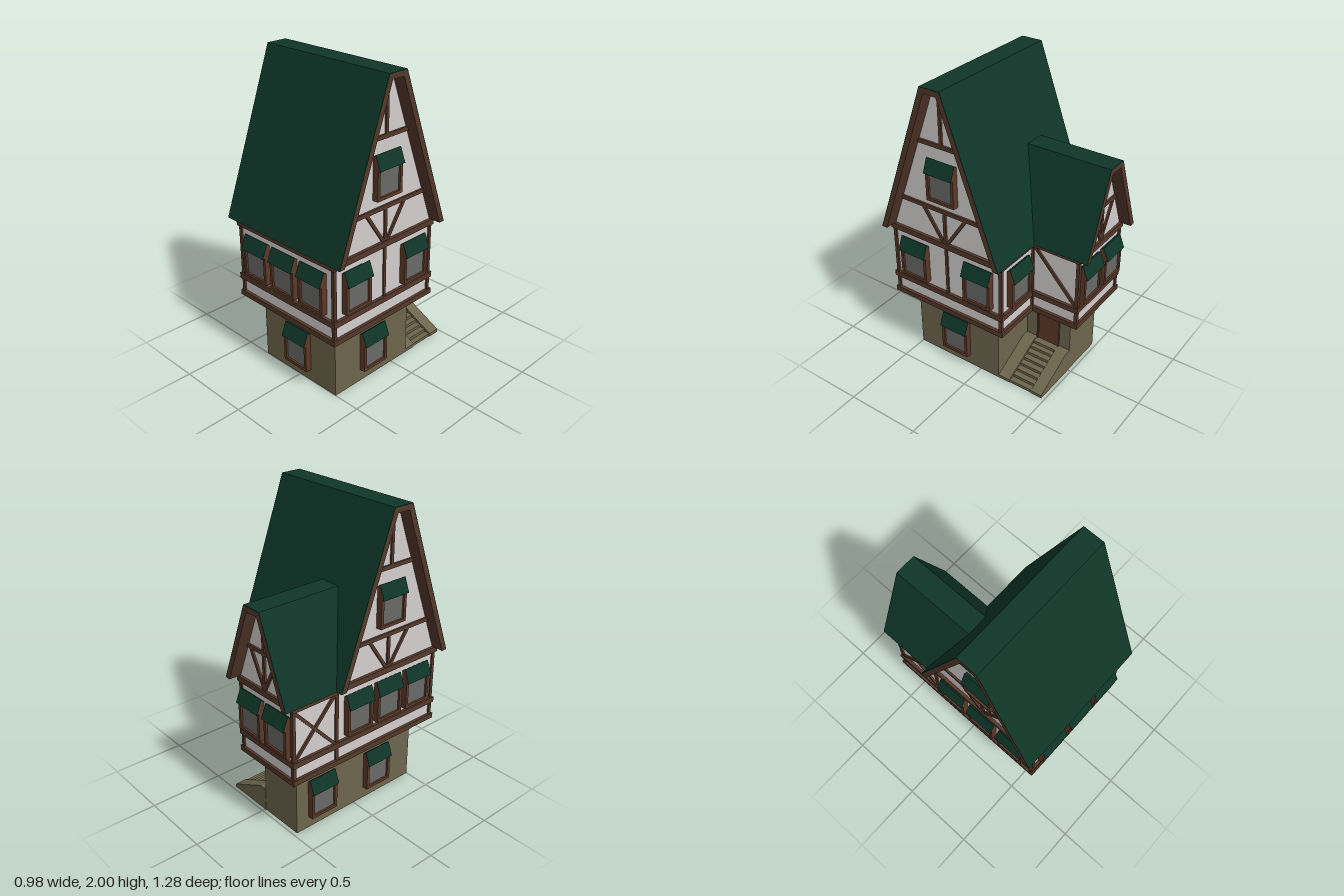
import * as THREE from 'three';

const mat = (name, color) => {
  const m = new THREE.MeshStandardMaterial({ color });
  m.name = name;
  return m;
};

export function createModel() {
  const green = mat('roof green', 0x0f3628);
  const timber = mat('timber brown', 0x54382a);
  const frameBrown = mat('frame brown', 0x5c3928);
  const plaster = mat('plaster white', 0xd4cfcf);
  const stone = mat('stone', 0x6d654c);
  const glass = mat('window grey', 0x696a67);
  const house = new THREE.Group();
  house.name = 'timberHouse';

  const add = (parent, name, geo, m) => {
    const mesh = new THREE.Mesh(geo, m);
    mesh.name = name;
    parent.add(mesh);
    return mesh;
  };
  // box given by its limits
  const box = (name, m, x0, x1, y0, y1, z0, z1, parent = house) => {
    const b = add(parent, name, new THREE.BoxGeometry(x1 - x0, y1 - y0, z1 - z0), m);
    b.position.set((x0 + x1) / 2, (y0 + y1) / 2, (z0 + z1) / 2);
    return b;
  };
  // prism along z between two depths
  const prism = (pts, z0, z1) => {
    const shape = new THREE.Shape(pts.map(p => new THREE.Vector2(p[0], p[1])));
    return new THREE.ExtrudeGeometry(shape, { depth: z1 - z0, bevelEnabled: false }).translate(0, 0, z0);
  };
  // prism along x, profile given as (z, y)
  const prismX = (pts, x0, x1) => prism(pts, -x1, -x0).rotateY(-Math.PI / 2);
  // straight bar between two points
  const bar = (name, a, b, w = 0.02, d = 0.02) => {
    const p = new THREE.Vector3(...a), q = new THREE.Vector3(...b);
    const mesh = add(house, name, new THREE.BoxGeometry(w, d, p.distanceTo(q)), timber);
    mesh.position.copy(p).lerp(q, 0.5);
    mesh.lookAt(q);
  };

  // stone ground floor
  box('mainBase', stone, -0.32, 0.32, 0, 0.46, -0.145, 0.5);
  box('wingBase', stone, -0.32, -0.01, 0, 0.46, -0.475, -0.14);

  // plastered upper floor
  box('mainWall', plaster, -0.405, 0.405, 0.47, 0.98, -0.23, 0.585);
  box('wingWall', plaster, -0.405, 0.075, 0.47, 0.98, -0.56, -0.2);

  // beams running around the floor
  for (const [y0, y1] of [[0.455, 0.49], [0.575, 0.612], [0.945, 0.983]]) {
    box('mainBeam', timber, -0.425, 0.425, y0, y1, -0.25, 0.605);
    box('wingBeam', timber, -0.425, 0.095, y0, y1, -0.577, -0.2);
  }
  // corner posts
  for (const [x, z] of [[0.405, 0.585], [-0.405, 0.585], [0.405, -0.23], [-0.405, -0.235],
    [-0.405, -0.56], [0.075, -0.56], [0.078, -0.235]]) {
    box('cornerPost', timber, x - 0.011, x + 0.011, 0.47, 0.96, z - 0.011, z + 0.011);
  }
  box('middlePost', timber, 0.4, 0.414, 0.6, 0.95, 0.165, 0.185);
  // wing side braces
  bar('wingBrace', [0.077, 0.945, -0.25], [0.077, 0.61, -0.56]);
  bar('wingBrace', [-0.407, 0.945, -0.25], [-0.407, 0.61, -0.56]);
  bar('wingBrace', [-0.407, 0.61, -0.25], [-0.407, 0.945, -0.56]);

  // struts below the overhang
  for (const s of [-1, 1]) for (const z of [0.43, 0.265, 0.105, -0.08]) {
    bar('strut', [s * 0.315, 0.385, z], [s * 0.415, 0.46, z], 0.02, 0.014);
  }
  for (const x of [-0.285, -0.165, -0.045]) {
    bar('strut', [x, 0.385, -0.47], [x, 0.46, -0.565], 0.02, 0.014);
  }

  // roof outline at an inward offset, centred on c
  const outline = (r, o) => {
    const dy = r.y1 - r.y0, dx = r.h - r.t;
    const low = r.h - o * Math.hypot(dx, dy) / dy;
    const top = low - dx * (dy - o) / dy;
    return [[r.c - low, r.y0], [r.c - top, r.y1 - o], [r.c + top, r.y1 - o], [r.c + low, r.y0]];
  };
  const layer = (r, a, b) => [...outline(r, a), ...outline(r, b).reverse()];
  const mainRoof = { c: 0.175, h: 0.445, t: 0.07, y0: 0.98, y1: 2 };
  const wingRoof = { c: -0.1625, h: 0.2825, t: 0.07, y0: 0.98, y1: 1.515 };

  add(house, 'mainRoof', prismX(layer(mainRoof, 0, 0.005), -0.488, 0.488), green);
  add(house, 'mainRoofTimber', prismX(layer(mainRoof, 0.005, 0.037), -0.488, 0.488), timber);
  add(house, 'mainGable', prismX(outline(mainRoof, 0.03), -0.405, 0.405), plaster);

  // the inner end of the wing roof follows the main roof slope
  const meet = geo => {
    const p = geo.attributes.position;
    for (let i = 0; i < p.count; i++) {
      if (p.getZ(i) > -0.3) p.setZ(i, -0.25 + (p.getY(i) - 0.98) * 0.3676);
    }
    geo.computeVertexNormals();
    return geo;
  };
  add(house, 'wingRoof', meet(prism(layer(wingRoof, 0, 0.005), -0.64, -0.1)), green);
  add(house, 'wingRoofTimber', meet(prism(layer(wingRoof, 0.005, 0.037), -0.64, -0.1)), timber);
  add(house, 'wingGable', meet(prism(outline(wingRoof, 0.03), -0.56, -0.1)), plaster);

  // gable timbers
  for (const s of [-1, 1]) {
    const x = s * 0.407;
    bar('gableBeam', [x, 1.198, -0.155], [x, 1.198, 0.505], 0.02, 0.026);
    bar('gableBeam', [x, 1.625, 0.0], [x, 1.625, 0.35], 0.02, 0.026);
    bar('gablePost', [x, 0.98, 0.175], [x, 1.2, 0.175]);
    bar('gablePost', [x, 1.625, 0.175], [x, 1.97, 0.175]);
    for (const d of [-1, 1]) {
      bar('gableBrace', [x, 0.98, 0.175 + d * 0.015], [x, 1.195, 0.175 + d * 0.16]);
    }
    bar('wingGableBrace', [-0.1625, 0.98, -0.562], [-0.1625 + s * 0.12, 1.215, -0.562]);
  }
  bar('wingGableBeam', [-0.315, 1.22, -0.562], [-0.01, 1.22, -0.562], 0.02, 0.024);
  bar('wingGablePost', [-0.1625, 0.98, -0.562], [-0.1625, 1.48, -0.562]);

  // window with a sloping hood, facing its local +z
  const addWindow = (x, y, z, turn) => {
    const w = new THREE.Group();
    w.name = 'window';
    const H = 0.102;
    for (const s of [-1, 1]) box('jamb', frameBrown, s * 0.092 - 0.01, s * 0.092 + 0.01, 0, 0.19, 0, 0.042, w);
    box('sill', frameBrown, -0.085, 0.085, 0, 0.02, 0, 0.042, w);
    box('pane', glass, -0.085, 0.085, 0.015, 0.19, 0.02, 0.029, w);
    add(w, 'hoodSide', prismX([[0, 0.185], [0.055, 0.185], [0.022, 0.272], [0, 0.255]], -H, H), frameBrown);
    add(w, 'hood', prismX([[0.055, 0.185], [0.059, 0.185], [0.023, 0.277], [0, 0.26], [0, 0.255], [0.022, 0.272]], -H, H), green);
    w.position.set(x, y, z);
    w.rotation.y = turn;
    house.add(w);
  };
  const L = Math.PI / 2, B = Math.PI;
  for (const x of [-0.245, 0, 0.245]) addWindow(x, 0.637, 0.583, 0);
  addWindow(0, 0.083, 0.498, 0);
  for (const z of [0.42, -0.07]) addWindow(0.403, 0.637, z, L);
  for (const z of [0.42, 0.175, -0.07]) addWindow(-0.403, 0.637, z, -L);
  for (const s of [-1, 1]) {
    addWindow(s * 0.403, 1.265, 0.175, s * L);
    addWindow(s * 0.318, 0.083, 0.185, s * L);
  }
  addWindow(-0.318, 0.083, -0.28, -L);
  addWindow(0.24, 0.637, -0.228, B);
  for (const x of [-0.285, -0.04]) addWindow(x, 0.637, -0.558, B);

  // door in the wing side
  box('door', frameBrown, -0.015, -0.006, 0.16, 0.4, -0.385, -0.235);
  for (const z of [-0.39, -0.232]) box('doorPost', timber, -0.015, 0, 0.16, 0.41, z - 0.006, z + 0.006);
  box('doorLintel', timber, -0.015, 0, 0.397, 0.41, -0.396, -0.226);

  // stairs between two sloping side walls
  const side = [[-0.01, 0], [0.32, 0], [0.32, 0.022], [0.04, 0.164], [-0.01, 0.164]];
  add(house, 'stairSide', prism(side, -0.478, -0.397), stone);
  add(house, 'stairSide', prism(side, -0.23, -0.144), stone);
  for (let i = 0; i < 7; i++) {
    box('step', stone, -0.01, 0.315 - i * 0.04, i * 0.02, (i + 1) * 0.02, -0.4, -0.228);
  }
  box('landing', stone, -0.01, 0.04, 0.14, 0.16, -0.4, -0.228);
  return house;
}
